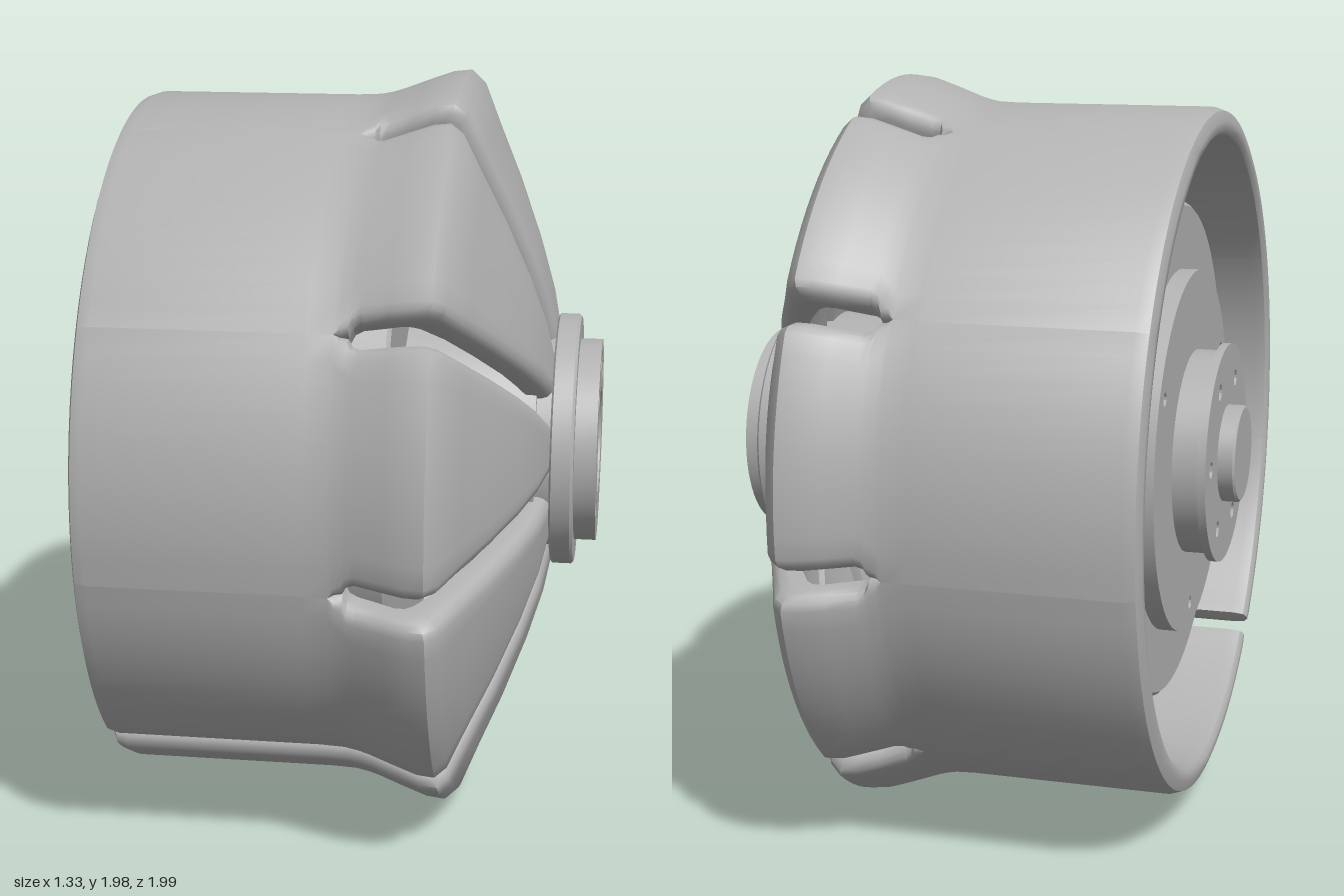
import * as THREE from 'three';
import { toCreasedNormals } from 'three/addons/utils/BufferGeometryUtils.js';

const grey = new THREE.MeshStandardMaterial({ color: 0xb2b2b2 });
grey.name = 'plain grey';

const PETALS = 9;
const GAP = 0.03;    // half width of the slots
const ROUND = 0.04;  // rounding of the slot edges

// Shell stations: outer x, outer r, inner x, inner r, slot opening 0..1, edge rounding 0..1
const STATIONS = [
  [-0.59, 0.885, -0.59, 0.862, 0, 0],
  [-0.58, 0.912, -0.58, 0.85, 0, 0],
  [-0.55, 0.922, -0.55, 0.845, 0, 0],
  [-0.02, 0.922, -0.02, 0.845, 0, 0],
  [0.045, 0.925, 0.045, 0.848, 0, 0],
  [0.06, 0.928, 0.06, 0.85, 0, 0.7],
  [0.08, 0.932, 0.08, 0.852, 0.02, 1],
  [0.09, 0.935, 0.09, 0.855, 0.7, 1],
  [0.11, 0.941, 0.11, 0.86, 1, 1],
  [0.18, 0.967, 0.165, 0.885, 1, 1],
  [0.24, 0.988, 0.205, 0.905, 1, 1],
  [0.285, 0.993, 0.23, 0.905, 1, 1],
  [0.315, 0.965, 0.25, 0.89, 1, 1],
  [0.36, 0.855, 0.3, 0.81, 1, 1],
  [0.42, 0.715, 0.36, 0.675, 1, 1],
  [0.48, 0.555, 0.42, 0.52, 1, 1],
  [0.52, 0.425, 0.455, 0.4, 1, 1],
  [0.545, 0.3, 0.48, 0.29, 1, 1],
];

// One solid sector of the shell; cutLeft/cutRight run the slot through the whole barrel
function sectorGeometry(centre, cutLeft, cutRight) {
  const half = Math.PI / PETALS;
  const across = 10;
  const rings = STATIONS.map(([x, r, xi, ri, open, round]) => {
    const side = (cut) => ({ g: cut ? GAP : GAP * open, e: cut ? ROUND : ROUND * round });
    const L = side(cutLeft), R = side(cutRight);
    const point = (a, f) => {
      const rr = r + (ri - r) * f;
      return [x + (xi - x) * f, rr * Math.cos(centre + a), rr * Math.sin(centre + a)];
    };
    const edge = (sd, inset, f) => half - Math.asin((sd.g + inset) / (r + (ri - r) * f));
    const corner = [[0, 0.55], [0.13, 0.28], [0.5, 0.075], [1, 0]];
    const outer = [], inner = [];
    const add = (a, f) => { outer.push(point(a, f)); };
    corner.forEach(([s, d]) => add(-edge(L, s * L.e, 0), d * L.e / ROUND));
    const a0 = -edge(L, L.e, 0), a1 = edge(R, R.e, 0);
    for (let k = 1; k < across; k++) add(a0 + (a1 - a0) * k / across, 0);
    [...corner].reverse().forEach(([s, d]) => add(edge(R, s * R.e, 0), d * R.e / ROUND));
    const b0 = -edge(L, 0, 1), b1 = edge(R, 0, 1), n = outer.length;
    for (let k = n - 1; k >= 0; k--) inner.push(point(b0 + (b1 - b0) * k / (n - 1), 1));
    return outer.concat(inner);
  });
  const N = rings[0].length, last = rings.length - 1, index = [];
  for (let i = 0; i < last; i++) {
    for (let j = 0; j < N; j++) {
      const k = (j + 1) % N;
      const a = i * N + j, b = i * N + k, c = a + N, d = b + N;
      index.push(a, b, c, b, d, c);
    }
  }
  // end faces
  for (let j = 0; j < N / 2 - 1; j++) {
    const a = j, b = j + 1, c = N - 1 - j, d = N - 2 - j, o = last * N;
    index.push(a, c, b, b, c, d);
    index.push(o + a, o + b, o + c, o + b, o + d, o + c);
  }
  const geo = new THREE.BufferGeometry();
  geo.setAttribute('position', new THREE.Float32BufferAttribute(rings.flat(2), 3));
  geo.setIndex(index);
  return toCreasedNormals(geo, 0.7);
}

export function createModel() {
  const model = new THREE.Group();
  model.name = 'wheelHub';
  model.position.y = 1;

  const addMesh = (name, geo) => {
    const m = new THREE.Mesh(geo, grey);
    m.name = name;
    model.add(m);
    return m;
  };
  // solid of revolution about the x axis; points are [x, r] with x rising
  const turned = (name, pts, segments = 64) => {
    const geo = new THREE.LatheGeometry(pts.map(([x, r]) => new THREE.Vector2(r, x)), segments);
    geo.rotateZ(-Math.PI / 2);
    return addMesh(name, toCreasedNormals(geo, 0.5));
  };
  // flat disc with round holes [radius, y, z], from x0 to x1, facing direction dir
  const drilled = (name, radius, holes, x0, x1, dir) => {
    const shape = new THREE.Shape().absarc(0, 0, radius, 0, Math.PI * 2);
    holes.forEach(([r, y, z]) =>
      shape.holes.push(new THREE.Path().absarc(-z * dir, y, r, 0, Math.PI * 2, true)));
    const geo = new THREE.ExtrudeGeometry(shape, {
      depth: Math.abs(x1 - x0), bevelEnabled: false, curveSegments: 32,
    });
    geo.rotateY(dir * Math.PI / 2);
    geo.translate(x0, 0, 0);
    return addMesh(name, toCreasedNormals(geo, 0.5));
  };
  const polar = (holeR, r, count, start = 0) => Array.from({ length: count }, (_, i) => {
    const a = start + i * Math.PI * 2 / count;
    return [holeR, r * Math.cos(a), r * Math.sin(a)];
  });

  // petalled shell, cut open along its full length at one slot
  for (let k = 0; k < PETALS; k++) {
    addMesh('shellPetal' + (k + 1), sectorGeometry(k * Math.PI * 2 / PETALS, k === 4, k === 3));
  }

  // motor body inside the shell and the column carrying the front hub
  turned('motorBody', [[-0.48, 0], [-0.48, 0.66], [-0.47, 0.67], [0.14, 0.67], [0.15, 0.66],
    [0.15, 0.36], [0.5, 0.33], [0.5, 0]]);

  // raised eyelets seen through three of the slots
  for (const a of [60, 180, 300]) {
    const t = a * Math.PI / 180;
    const eyelet = new THREE.TorusGeometry(0.024, 0.009, 8, 20);
    eyelet.rotateY(Math.PI / 2);
    eyelet.translate(0.155, 0.42 * Math.cos(t), 0.42 * Math.sin(t));
    addMesh('eyelet', eyelet);
  }

  // front hub
  turned('frontFlange', [[0.49, 0], [0.49, 0.3], [0.54, 0.3], [0.54, 0.335], [0.545, 0.342],
    [0.595, 0.342], [0.602, 0.335], [0.602, 0]]);
  const lugs = [[0.028, 0.22, 0], [0.026, 0.16, 0.155], [0.026, 0.16, -0.155],
    [0.026, -0.15, 0.16], [0.026, -0.15, -0.16]];
  drilled('frontPlate', 0.275, [[0.145, 0, 0], ...lugs], 0.6, 0.66, 1);

  // socket bolts in the cup
  polar(0, 0.06, 3).forEach(([, y, z]) => {
    const bolt = turned('hubBolt', [[0.6, 0.042], [0.618, 0.042], [0.624, 0.037],
      [0.624, 0.02], [0.606, 0.018], [0.606, 0]], 20);
    bolt.position.set(0, y, z);
  });

  // stepped back plates and the axle
  drilled('backRing', 0.49, polar(0.018, 0.43, 3, Math.PI / 3), -0.47, -0.53, -1);
  turned('backCollar', [[-0.605, 0], [-0.605, 0.275], [-0.52, 0.275]]);
  drilled('backPlate', 0.295, polar(0.022, 0.215, 6, Math.PI / 6), -0.6, -0.622, -1);
  turned('axle', [[-0.668, 0], [-0.668, 0.125], [-0.662, 0.131], [-0.6, 0.131]]);

  return model;
}
